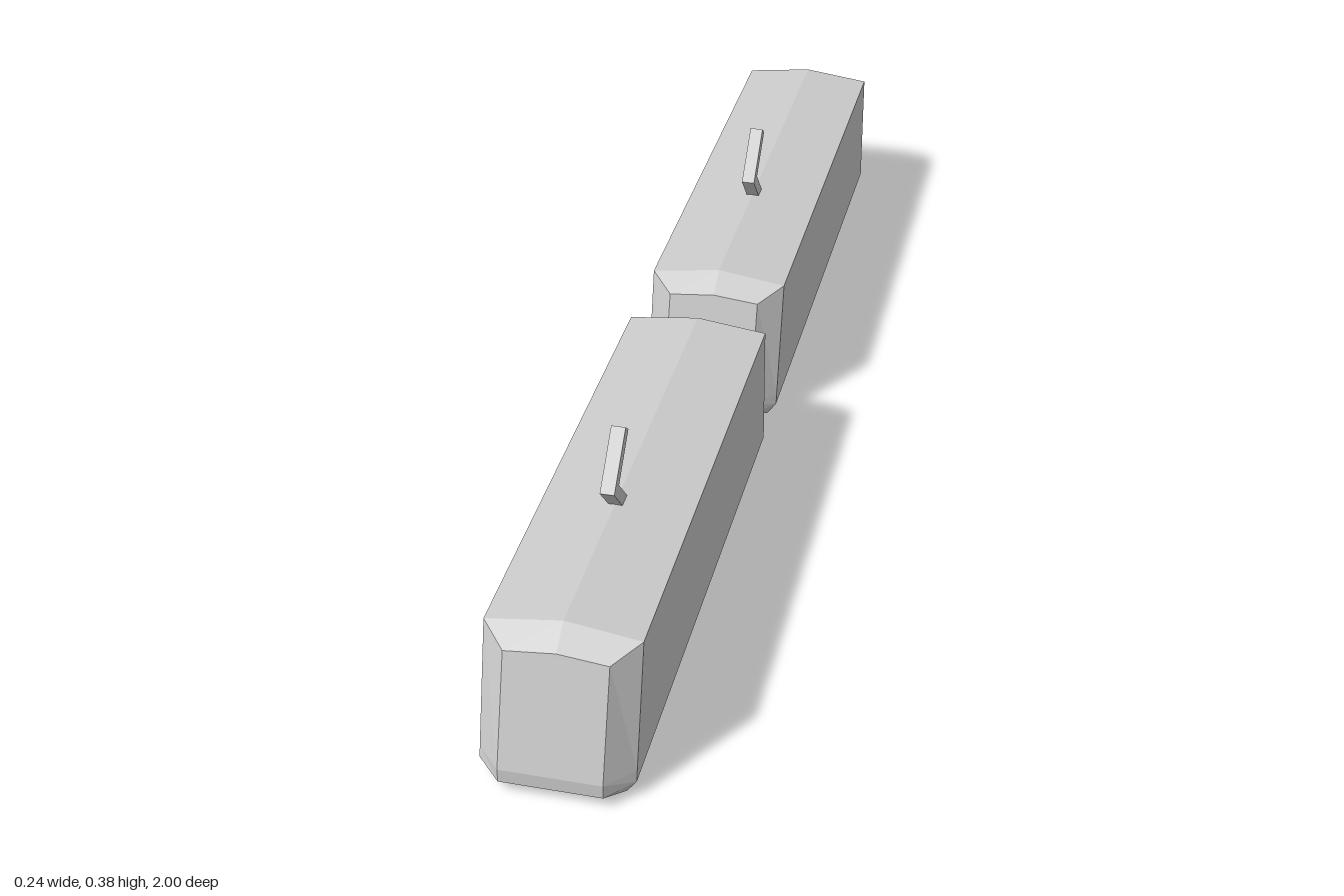
import * as THREE from 'three';

const material = new THREE.MeshStandardMaterial({ color: 0xcccccc, flatShading: true });

function part(name, geometry) {
  const mesh = new THREE.Mesh(geometry, material);
  mesh.name = name;
  return mesh;
}

// Cross-section from right-hand half points [x, y, z], mirrored about an apex on the centre line
function ring(half, apex) {
  const left = half.map(([x, y, z]) => [-x, y, z]);
  return [left[0], ...half, apex, ...left.slice(1).reverse()];
}

// Faceted car body: four cross-sections from rear to raked nose, closed by end panels
function bodyGeometry() {
  const rings = [
    ring([[0.08, 0.02, 0.02], [0.08, 0.02, 0.02], [0.08, 0.043, 0.02], [0.08, 0.223, 0.02]], [0, 0.23, 0.02]),
    ring([[0.104, 0, 0.04], [0.12, 0.025, 0.05], [0.12, 0.043, 0.05], [0.12, 0.243, 0.05]], [0, 0.258, 0.05]),
    ring([[0.104, 0, 0.955], [0.12, 0.025, 0.96], [0.12, 0.043, 0.956], [0.12, 0.243, 0.905]], [0, 0.258, 0.902]),
    ring([[0.08, 0.02, 1], [0.08, 0.02, 1], [0.08, 0.043, 1], [0.08, 0.223, 0.946]], [0, 0.23, 0.944]),
  ];
  const positions = [];
  const tri = (a, b, c) => positions.push(...a, ...b, ...c);
  const quad = (a, b, c, d) => { tri(a, b, c); tri(a, c, d); };

  // Skin between neighbouring cross-sections
  for (let k = 0; k < 3; k++) {
    for (let i = 0; i < 9; i++) {
      const j = (i + 1) % 9;
      quad(rings[k][i], rings[k][j], rings[k + 1][j], rings[k + 1][i]);
    }
  }
  // Nose and rear panels
  const f = rings[3], r = rings[0];
  quad(f[8], f[2], f[3], f[7]);
  quad(f[7], f[3], f[4], f[6]);
  tri(f[6], f[4], f[5]);
  quad(r[2], r[8], r[7], r[3]);
  quad(r[3], r[7], r[6], r[4]);
  tri(r[4], r[6], r[5]);

  const geometry = new THREE.BufferGeometry();
  geometry.setAttribute('position', new THREE.Float32BufferAttribute(positions, 3));
  geometry.computeVertexNormals();
  return geometry;
}

// Bent roof arm: a chevron in the z-y plane, extruded across x
function pantographGeometry() {
  const width = 0.023;
  const outline = [[0.605, 0.25], [0.656, 0.307], [0.582, 0.383], [0.567, 0.37], [0.628, 0.307], [0.577, 0.25]];
  const shape = new THREE.Shape(outline.map(([z, y]) => new THREE.Vector2(z, y)));
  return new THREE.ExtrudeGeometry(shape, { depth: width, bevelEnabled: false })
    .translate(0, 0, -width / 2)
    .rotateY(-Math.PI / 2);
}

export function createModel() {
  const model = new THREE.Group();
  model.name = 'twoCarTram';
  const body = bodyGeometry();
  const pantograph = pantographGeometry();

  // Two identical cars, one behind the other
  ['frontCar', 'rearCar'].forEach((name, i) => {
    const car = new THREE.Group();
    car.name = name;
    car.add(part('carBody', body), part('pantograph', pantograph));
    car.position.z = -1.02 * i;
    model.add(car);
  });

  // Bar joining the cars
  const coupler = part('coupler', new THREE.BoxGeometry(0.012, 0.016, 0.07));
  coupler.position.set(0, 0.073, -0.005);
  model.add(coupler);
  return model;
}
